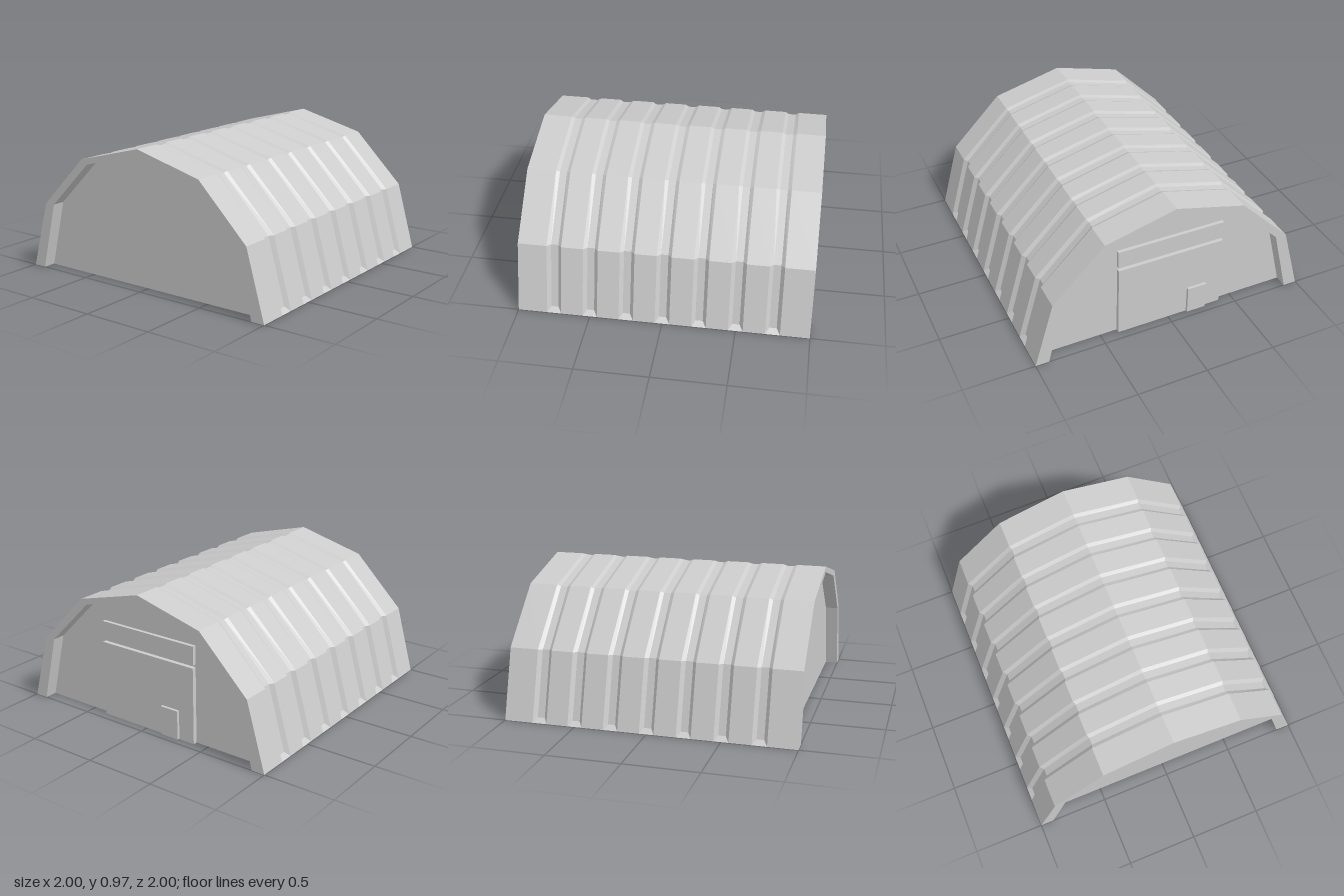
import * as THREE from 'three';

const material = new THREE.MeshStandardMaterial({
  color: 0xcccccc, flatShading: true, side: THREE.DoubleSide,
});

// Half profiles from the ground to the ridge
const OUTER = [[1, 0], [1, 0], [0.865, 0.475], [0.5, 0.84], [0, 0.97]];
const GROOVE = [[1, 0], [0.965, 0.03], [0.84, 0.472], [0.49, 0.83], [0, 0.96]];
const INNER = [[0.905, 0], [0.785, 0.48], [0.45, 0.81], [0, 0.93]];
const WALL_Z = 0.91;

// Full arch from +x over the ridge to -x
function arch(half) {
  const other = half.slice(0, -1).reverse().map(([x, y]) => [-x, y]);
  return [...half, ...other];
}

// Faceted skin through sections of the form { z, points }
function loft(sections) {
  const pos = [];
  for (let s = 0; s < sections.length - 1; s++) {
    const A = sections[s], B = sections[s + 1];
    for (let i = 0; i < A.points.length - 1; i++) {
      const a = [...A.points[i], A.z], b = [...A.points[i + 1], A.z];
      const c = [...B.points[i], B.z], d = [...B.points[i + 1], B.z];
      pos.push(...a, ...c, ...b, ...b, ...c, ...d);
    }
  }
  const geometry = new THREE.BufferGeometry();
  geometry.setAttribute('position', new THREE.Float32BufferAttribute(pos, 3));
  geometry.computeVertexNormals();
  return geometry;
}

function flat(points, z) {
  const shape = new THREE.Shape(points.map(([x, y]) => new THREE.Vector2(x, y)));
  return new THREE.ShapeGeometry(shape).translate(0, 0, z);
}

function add(parent, name, geometry) {
  const mesh = new THREE.Mesh(geometry, material);
  mesh.name = name;
  parent.add(mesh);
  return mesh;
}

// Box given by its limits, backed by the end wall
function panel(parent, name, x0, x1, y0, y1, zBack, zFront) {
  const mesh = add(parent, name, new THREE.BoxGeometry(x1 - x0, y1 - y0, zFront - zBack));
  mesh.position.set((x0 + x1) / 2, (y0 + y1) / 2, (zBack + zFront) / 2);
}

// Rim, reveal and recessed wall closing one end
function endWall(name) {
  const group = new THREE.Group();
  group.name = name;
  const outer = arch(OUTER.slice(1)), inner = arch(INNER);
  add(group, 'rim', flat([...outer, ...inner.slice().reverse()], 1));
  add(group, 'reveal', loft([{ z: WALL_Z, points: inner }, { z: 1, points: inner }]));
  add(group, 'wall', flat(inner, WALL_Z));
  return group;
}

export function createModel() {
  const model = new THREE.Group();
  model.name = 'hangar';

  // Arched shell with seven grooves
  const outer = arch(OUTER), groove = arch(GROOVE);
  const sections = [{ z: 1, points: outer }];
  for (let i = 3; i >= -3; i--) {
    const z = i * 0.25;
    sections.push(
      { z: z + 0.05, points: outer }, { z: z + 0.025, points: groove },
      { z: z - 0.025, points: groove }, { z: z - 0.05, points: outer });
  }
  sections.push({ z: -1, points: outer });
  add(model, 'ribbedShell', loft(sections));

  model.add(endWall('frontEnd'));

  // Back end with the large door, its header and a small door
  const back = endWall('backEnd');
  back.rotation.y = Math.PI;
  panel(back, 'largeDoor', -0.375, 0.4, 0, 0.54, WALL_Z, 0.94);
  panel(back, 'doorHeader', -0.375, 0.4, 0.56, 0.69, WALL_Z, 0.935);
  panel(back, 'smallDoor', 0.14, 0.28, 0.005, 0.21, 0.94, 0.96);
  model.add(back);

  return model;
}
